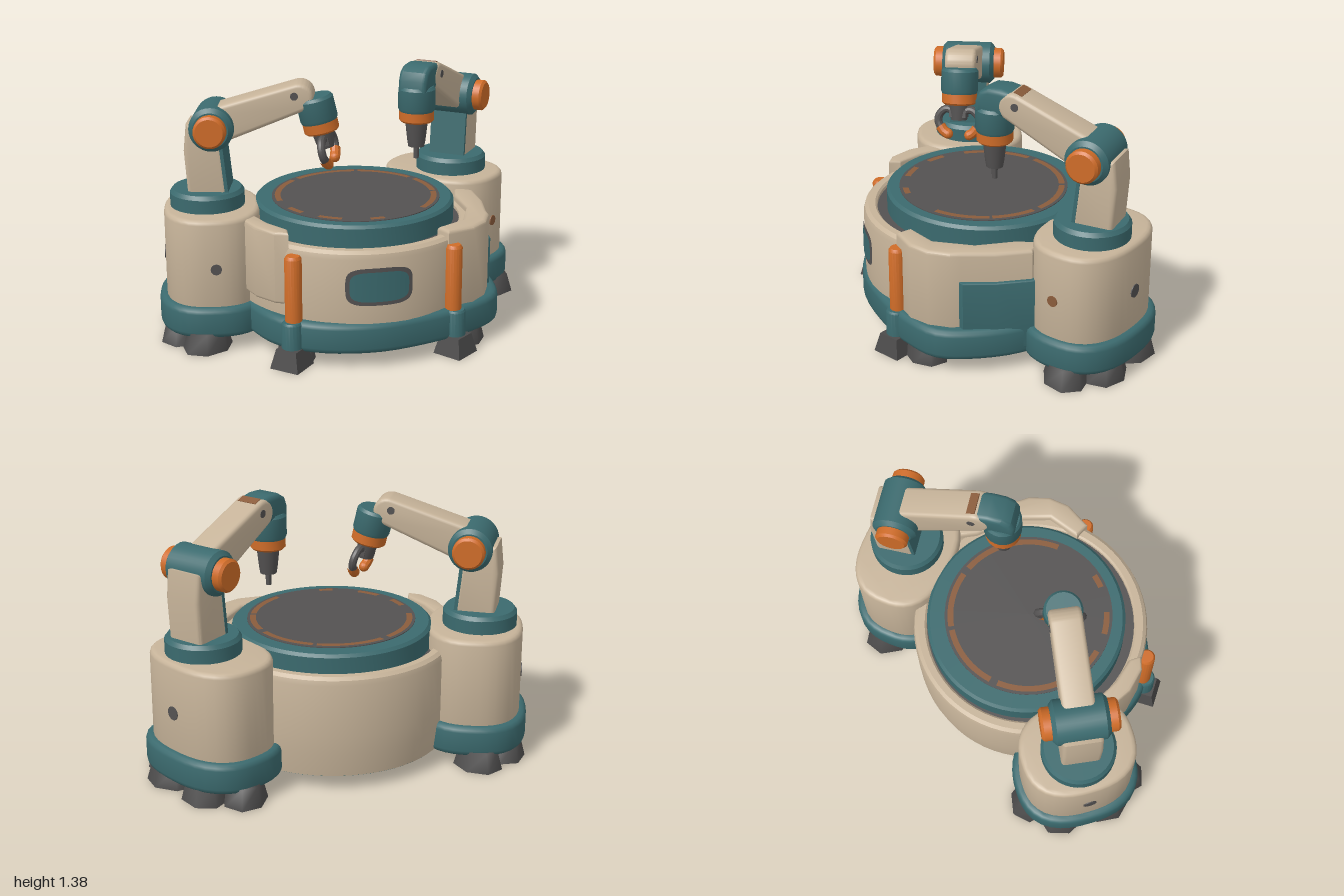
import * as THREE from 'three';
import { toCreasedNormals } from 'three/addons/utils/BufferGeometryUtils.js';

const flat = (name, color) => {
  const m = new THREE.MeshStandardMaterial({ color });
  m.name = name;
  return m;
};

export function createModel() {
  const model = new THREE.Group();
  model.name = 'roboticWorkCell';
  const beige = flat('beige', 0xc6b399), teal = flat('teal', 0x3b6a6e), orange = flat('orange', 0xcf6c28);
  const grey = flat('grey', 0x545252), dark = flat('darkRubber', 0x4c4b4b), worn = flat('wornOrange', 0x8a5c3c);

  const add = (parent, name, geo, mat, x = 0, y = 0, z = 0) => {
    const mesh = new THREE.Mesh(toCreasedNormals(geo, 0.6), mat);
    mesh.name = name;
    mesh.position.set(x, y, z);
    parent.add(mesh);
    return mesh;
  };
  const group = (parent, name, x, y, z, ry = 0) => {
    const g = new THREE.Group();
    g.name = name;
    g.position.set(x, y, z);
    g.rotation.y = ry;
    parent.add(g);
    return g;
  };
  // Turned profile, listed from the bottom up
  const lathe = (pts, seg = 48) => new THREE.LatheGeometry(pts.map(p => new THREE.Vector2(...p)), seg);
  const poly = pts => new THREE.Shape(pts.map(p => new THREE.Vector2(...p)));
  // Bevelled extrusion, centred on z
  const extrude = (shape, depth, bevel) => new THREE.ExtrudeGeometry(shape, {
    depth: depth - 2 * bevel, bevelEnabled: bevel > 0, bevelThickness: bevel, bevelSize: bevel,
    bevelOffset: -bevel, bevelSegments: 3, curveSegments: 16,
  }).translate(0, 0, bevel - depth / 2);
  // Upright slab from a plan outline of [x, z] points
  const slab = (pts, y0, y1, bevel) => extrude(poly(pts.map(([x, z]) => [x, -z])), y1 - y0, bevel)
    .rotateX(-Math.PI / 2).translate(0, (y0 + y1) / 2, 0);
  const smooth = (pts, n = 48) => new THREE.CatmullRomCurve3(pts.map(([x, z]) => new THREE.Vector3(x, 0, z)), true)
    .getPoints(n).slice(0, -1).map(p => [p.x, p.z]);
  const oval = (a, b, n = 2.5) => Array.from({ length: 40 }, (_, i) => {
    const t = i / 40 * Math.PI * 2, c = Math.cos(t), s = Math.sin(t);
    const k = (Math.abs(c) ** n + Math.abs(s) ** n) ** (-1 / n);
    return [a * c * k, b * s * k];
  });
  const rod = (r0, r1, h, seg = 28) => new THREE.CylinderGeometry(r0, r1, h, seg);

  // Central drum with its underside and the gap around the table
  add(model, 'drum', lathe([[0.595, 0.08], [0.612, 0.2], [0.615, 0.3], [0.615, 0.57], [0.608, 0.595], [0.59, 0.61],
    [0.555, 0.61], [0.545, 0.6], [0.54, 0.55]], 64), beige, 0, 0, -0.01);
  add(model, 'drumFloor', rod(0.545, 0.545, 0.02, 48), grey, 0, 0.575, -0.01);
  add(model, 'underside', rod(0.594, 0.594, 0.03, 64), teal, 0, 0.094, -0.01);
  add(model, 'frontSkirt', slab(smooth([[-0.6, -0.1], [-0.62, 0.15], [-0.56, 0.34], [-0.4, 0.5], [-0.15, 0.602],
    [0.15, 0.612], [0.38, 0.575], [0.57, 0.49], [0.66, 0.32], [0.7, 0.06], [0.64, -0.14], [0.3, -0.2], [-0.3, -0.2]]),
  0.08, 0.24, 0.03), teal);

  // Turntable with a broken painted ring
  add(model, 'turntable', lathe([[0, 0.58], [0.515, 0.58], [0.515, 0.685], [0.5, 0.7], [0, 0.7]], 64), teal, 0.01, 0, -0.03);
  add(model, 'tableTop', rod(0.435, 0.435, 0.008, 64), grey, 0.01, 0.7, -0.015);
  for (const [from, len] of [[-0.3, 0.55], [0.35, 0.75], [1.15, 0.85], [2.1, 0.9], [3.3, 0.25], [3.8, 0.3],
    [4.45, 0.18], [5.25, 0.7]]) {
    add(model, 'paintedRing', new THREE.RingGeometry(0.39, 0.42, 14, 1, from, len).rotateX(-Math.PI / 2),
      worn, 0.01, 0.706, -0.015);
  }

  // Raised corner housings and the side hatch
  add(model, 'cornerHousing', slab([[0.23, 0.47], [0.25, 0.555], [0.4, 0.545], [0.5, 0.49], [0.57, 0.4], [0.585, 0.35],
    [0.65, 0.2], [0.69, 0.02], [0.62, -0.06], [0.56, 0.05], [0.52, 0.25], [0.4, 0.42]], 0.18, 0.645, 0.02), beige);
  add(model, 'rightHousing', slab([[-0.64, -0.02], [-0.625, 0.16], [-0.57, 0.28], [-0.51, 0.32], [-0.49, 0.26],
    [-0.54, 0.13], [-0.56, -0.02]], 0.3, 0.675, 0.015), beige);
  add(model, 'sideHatch', slab([[0.58, 0.36], [0.61, 0.352], [0.67, 0.2], [0.715, 0.0], [0.66, 0.0]], 0.12, 0.49, 0.006), teal);

  // Front screen, bent around the drum
  const bentPlate = (w, h, r) => {
    const g = new THREE.RingGeometry(0.001, 1, 48, 8), p = g.attributes.position;
    for (let i = 0; i < p.count; i++) {
      const u = p.getX(i), v = p.getY(i), d = Math.hypot(u, v);
      const k = d / (u ** 4 + v ** 4) ** 0.25, a = -0.24 + u * k * w / r;
      p.setXYZ(i, r * Math.sin(a), 0.43 + v * k * h, r * Math.cos(a));
    }
    g.computeVertexNormals();
    return g;
  };
  add(model, 'screenFrame', bentPlate(0.17, 0.097, 0.619), grey, 0, 0, -0.01);
  add(model, 'screen', bentPlate(0.15, 0.077, 0.623), teal, 0, 0, -0.01);

  // Chunky tapered foot
  const foot = (parent, x, z, rx, rz, ry = 0) => {
    const m = add(parent, 'foot', rod(0.78, 1, 0.1, 7), dark, x, 0.05, z);
    m.scale.set(rx, 1, rz);
    m.rotation.y = ry;
  };

  // Front posts
  for (const [x, z] of [[-0.51, 0.37], [0.275, 0.563]]) {
    const post = group(model, 'frontPost', x, 0, z, Math.atan2(x, z));
    add(post, 'postGuard', lathe([[0, 0.22], [0.043, 0.22], [0.043, 0.56], [0.033, 0.575], [0, 0.575]], 20), orange);
    add(post, 'postSocket', lathe([[0, 0.08], [0.054, 0.08], [0.052, 0.225], [0.045, 0.235], [0, 0.235]], 20), teal, 0, 0, 0.016);
    add(post, 'postFoot', rod(0.08, 0.112, 0.1, 4).rotateY(Math.PI / 4), dark, 0, 0.05, 0.022);
  }
  foot(model, 0.4, 0.46, 0.12, 0.1, 0.4);
  foot(model, -0.47, 0.3, 0.09, 0.11, 0.4);

  // Pedestal pod: local x points inwards, z along its length
  const pod = (name, x, z, dx, dz, len, boltMat) => {
    const g = group(model, name, x, 0, z, Math.atan2(-dz, dx));
    add(g, 'podBody', slab(oval(0.245, len), 0.2, 0.69, 0.025), beige);
    add(g, 'podSkirt', slab(oval(0.282, len + 0.035), 0.075, 0.235, 0.03), teal);
    add(g, 'outerBolt', rod(0.035, 0.035, 0.012, 16).rotateZ(Math.PI / 2), grey, -0.244, 0.435, 0);
    const side = x > 0 ? -1 : 1;
    add(g, 'endBolt', rod(0.028, 0.028, 0.012, 16).rotateX(Math.PI / 2), boltMat, 0.015, 0.435, side * (len - 0.001));
    for (const t of [-1.35, -0.45, 0.45, 1.35]) {
      foot(g, -0.185 * Math.cos(t), (len - 0.04) * Math.sin(t), 0.115, 0.14, -t * 0.6);
    }
  };
  pod('leftPod', 0.69, -0.305, -0.86, 0.5, 0.325, worn);
  pod('rightPod', -0.7, -0.235, 0.94, 0.35, 0.295, grey);

  // Shoulder and upper arm: local x is the reach, z the hinge axis, origin at the shoulder hinge
  const arm = (name, x, z, dx, dz, ex, ey, collarX) => {
    const g = group(model, name, x, 1.11, z, Math.atan2(-dz, dx));
    add(g, 'collar', lathe([[0, -0.43], [0.19, -0.43], [0.19, -0.35], [0.175, -0.33], [0, -0.33]], 36), teal, collarX);
    add(g, 'riser', extrude(poly([[-0.13, -0.35], [0.07, -0.35], [0.04, -0.05], [0, 0], [-0.13, 0.02],
      [-0.145, -0.12]]), 0.2, 0.02), beige);
    add(g, 'riserInnerPlate', extrude(poly([[0.06, -0.35], [0.078, -0.35], [0.048, -0.05], [0.03, -0.05]]), 0.2, 0), teal);
    const barrel = lathe([[0, -0.14], [0.09, -0.14], [0.112, -0.12], [0.112, 0.12], [0.09, 0.14], [0, 0.14]], 32);
    add(g, 'shoulder', barrel.rotateX(Math.PI / 2), teal);
    const cap = lathe([[0, -0.19], [0.07, -0.19], [0.082, -0.178], [0.082, 0.178], [0.07, 0.19], [0, 0.19]], 28);
    add(g, 'hingeCaps', cap.rotateX(Math.PI / 2), orange);
    const f = Math.atan2(ey, ex), q = Math.PI / 2, s = new THREE.Shape();
    s.absarc(0, 0, 0.095, f + q, f + 3 * q);
    s.absarc(ex, ey, 0.072, f - q, f + q);
    add(g, 'upperArm', extrude(s, 0.16, 0.02), beige);
    add(g, 'armPin', rod(0.02, 0.02, 0.166, 14).rotateX(q), grey, ex * 0.95, ey * 0.95 + 0.018, 0);
    return g;
  };
  // Tool head: cuff with an orange band, hanging from its origin
  const head = (parent, x, y, tilt) => {
    const t = group(parent, 'toolHead', x, y, 0);
    t.rotation.z = tilt;
    add(t, 'cuff', lathe([[0, -0.125], [0.09, -0.125], [0.096, -0.11], [0.096, -0.01], [0.085, 0.005], [0, 0.005]], 28), teal);
    add(t, 'band', lathe([[0, -0.182], [0.08, -0.182], [0.09, -0.172], [0.09, -0.12], [0, -0.12]], 28), orange);
    return t;
  };

  // Left arm with a drill
  const left = arm('drillArm', 0.725, -0.285, -0.76, 0.65, 0.41, 0.185, 0.005);
  add(left, 'elbow', extrude(poly([[0.4, 0.14], [0.39, 0.22], [0.41, 0.255], [0.47, 0.266], [0.54, 0.262], [0.585, 0.235],
    [0.605, 0.19], [0.605, 0.13], [0.47, 0.125]]), 0.155, 0.025), teal);
  const plate = add(left, 'elbowPatch', new THREE.BoxGeometry(0.045, 0.008, 0.11), worn, 0.385, 0.251, 0);
  plate.rotation.z = 0.38;
  const drill = head(left, 0.53, 0.15, 0);
  add(drill, 'drillBody', lathe([[0, -0.315], [0.042, -0.315], [0.048, -0.28], [0.06, -0.17], [0, -0.17]], 24), grey);
  add(drill, 'drillBit', lathe([[0, -0.385], [0.014, -0.38], [0.016, -0.3], [0, -0.3]], 12), grey);

  // Right arm with a two-finger gripper
  const right = arm('gripperArm', -0.68, -0.225, 0.88, 0.47, 0.435, 0.155, -0.045);
  const grip = head(right, 0.505, 0.145, 0.23);
  add(grip, 'wrist', rod(0.055, 0.042, 0.09, 20), grey, 0, -0.22, 0);
  const claw = group(grip, 'claw', 0.01, 0.02, 0, -0.22);
  add(claw, 'palm', new THREE.BoxGeometry(0.05, 0.04, 0.09), grey, 0, -0.25, 0);
  for (const s of [-1, 1]) {
    const bend = (pts, r) => new THREE.TubeGeometry(new THREE.CatmullRomCurve3(
      pts.map(([z, y]) => new THREE.Vector3(0, y, s * z))), 14, r, 10);
    add(claw, 'finger', bend([[0.02, -0.24], [0.07, -0.23], [0.107, -0.265], [0.11, -0.305], [0.09, -0.335]], 0.021), grey);
    add(claw, 'fingerTip', bend([[0.1, -0.322], [0.082, -0.346], [0.058, -0.362]], 0.027), orange);
    add(claw, 'fingerEnd', new THREE.SphereGeometry(0.027, 12, 8), orange, 0, -0.362, s * 0.058);
  }
  return model;
}
